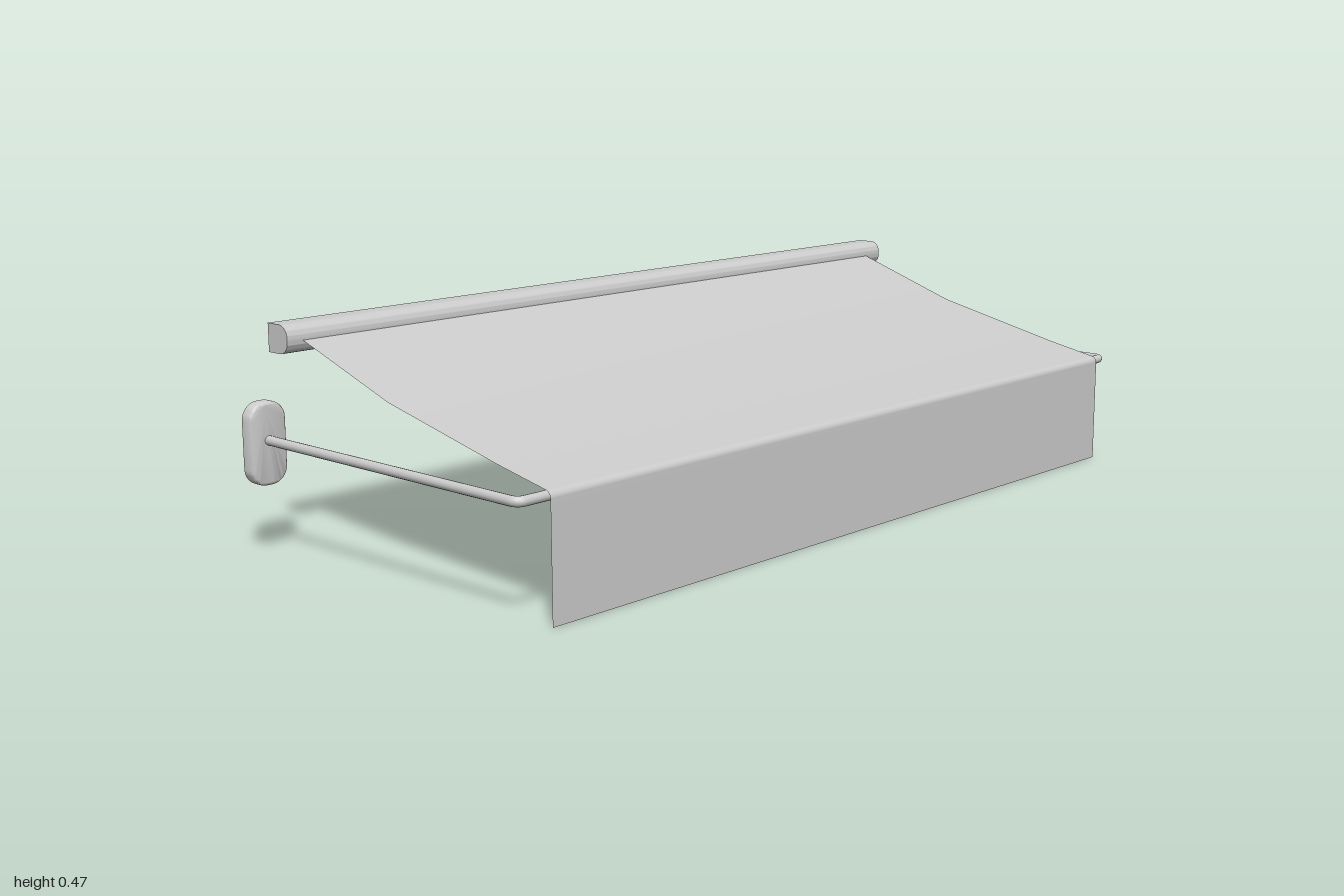
import * as THREE from 'three';
import { toCreasedNormals } from 'three/addons/utils/BufferGeometryUtils.js';

const ROD_Y = 0.24, ROD_X = 0.375, ROD_Z = 0.957, ROD_R = 0.01;

function geometryFrom(positions, index) {
  const g = new THREE.BufferGeometry();
  g.setAttribute('position', new THREE.Float32BufferAttribute(positions, 3));
  g.setIndex(index);
  g.computeVertexNormals();
  return g;
}

// Rounded rectangle in the y-z plane, counter-clockwise seen from +x
function outline(x, inset) {
  const halfY = 0.085, halfZ = 0.0425, radius = 0.036, steps = 8, points = [];
  for (let q = 0; q < 4; q++) {
    const sy = q === 0 || q === 3 ? 1 : -1, sz = q < 2 ? 1 : -1;
    for (let i = 0; i <= steps; i++) {
      const a = (q + i / steps) * Math.PI / 2, r = radius - inset;
      points.push([x, sy * (halfY - radius) + r * Math.cos(a), sz * (halfZ - radius) + r * Math.sin(a)]);
    }
  }
  return points;
}

// Wall plate: a shallow cup, open towards the wall, with a softened front edge
function plateGeometry() {
  const rings = [outline(-0.39, 0)];
  for (let i = 0; i <= 4; i++) {
    const a = i / 4 * Math.PI / 2, b = 0.007;
    rings.push(outline(-0.369 + b * Math.sin(a), b * (1 - Math.cos(a))));
  }
  const n = rings[0].length, index = [];
  for (let i = 0; i < rings.length - 1; i++) {
    for (let j = 0; j < n; j++) {
      const k = (j + 1) % n, a = i * n + j, b = i * n + k;
      index.push(a, b, b + n, a, b + n, a + n);
    }
  }
  const last = (rings.length - 1) * n;
  for (let j = 1; j < n - 1; j++) index.push(last, last + j, last + j + 1);
  return toCreasedNormals(geometryFrom(rings.flat(2), index), 0.6);
}

// Arms and front bar: one bent tube
function frameGeometry() {
  const bend = 0.018, path = new THREE.CurvePath();
  const v = (x, z) => new THREE.Vector3(x, ROD_Y, z);
  const backX = -0.38;
  path.add(new THREE.LineCurve3(v(backX, ROD_Z), v(ROD_X - bend, ROD_Z)));
  path.add(new THREE.QuadraticBezierCurve3(v(ROD_X - bend, ROD_Z), v(ROD_X, ROD_Z), v(ROD_X, ROD_Z - bend)));
  path.add(new THREE.LineCurve3(v(ROD_X, ROD_Z - bend), v(ROD_X, bend - ROD_Z)));
  path.add(new THREE.QuadraticBezierCurve3(v(ROD_X, bend - ROD_Z), v(ROD_X, -ROD_Z), v(ROD_X - bend, -ROD_Z)));
  path.add(new THREE.LineCurve3(v(ROD_X - bend, -ROD_Z), v(backX, -ROD_Z)));
  return new THREE.TubeGeometry(path, 700, ROD_R, 16);
}

// Cloth: sagging roof, wrapped over the bar, then a hanging valance
function clothGeometry() {
  const wrap = 0.0145, profile = [[-0.327, 0.439], [-0.06, 0.348], [0.25, 0.277]];
  for (let i = 0; i <= 8; i++) {
    const a = (78 - i / 8 * 78) * Math.PI / 180;
    profile.push([ROD_X + wrap * Math.cos(a), ROD_Y - 0.003 + wrap * Math.sin(a)]);
  }
  profile.push([0.3895, 0.22], [0.3895, 0]);
  const positions = [], index = [];
  profile.forEach(([x, y], i) => {
    positions.push(x, y, -0.914, x, y, 0.893);
    if (i < profile.length - 1) {
      const a = i * 2;
      index.push(a, a + 1, a + 3, a, a + 3, a + 2);
    }
  });
  return geometryFrom(positions, index);
}

// Roller housing: flat against the wall, rounded at the front
function housingGeometry() {
  const x0 = -0.388, x1 = -0.325, y0 = 0.412, y1 = 0.471, r = 0.026;
  const s = new THREE.Shape();
  s.moveTo(x0, y0);
  s.lineTo(x1 - r, y0);
  s.absarc(x1 - r, y0 + r, r, -Math.PI / 2, 0, false);
  s.absarc(x1 - r, y1 - r, r, 0, Math.PI / 2, false);
  s.lineTo(x0, y1);
  s.closePath();
  const g = new THREE.ExtrudeGeometry(s, { depth: 1.898, bevelEnabled: false, curveSegments: 10 });
  g.translate(0, 0, -0.968);
  return toCreasedNormals(g, 0.6);
}

export function createModel() {
  const model = new THREE.Group();
  model.name = 'awning';
  const solid = new THREE.MeshStandardMaterial({ color: 0xcccccc });
  const thin = new THREE.MeshStandardMaterial({ color: 0xcccccc, side: THREE.DoubleSide });
  const add = (name, geometry, material) => {
    const mesh = new THREE.Mesh(geometry, material);
    mesh.name = name;
    model.add(mesh);
    return mesh;
  };

  add('rollerHousing', housingGeometry(), solid);
  add('cloth', clothGeometry(), thin);
  add('supportFrame', frameGeometry(), thin);

  const plate = plateGeometry();
  for (const side of [1, -1]) {
    add(side > 0 ? 'frontWallPlate' : 'backWallPlate', plate, thin).position.set(0, 0.233, side * ROD_Z);
  }
  return model;
}
